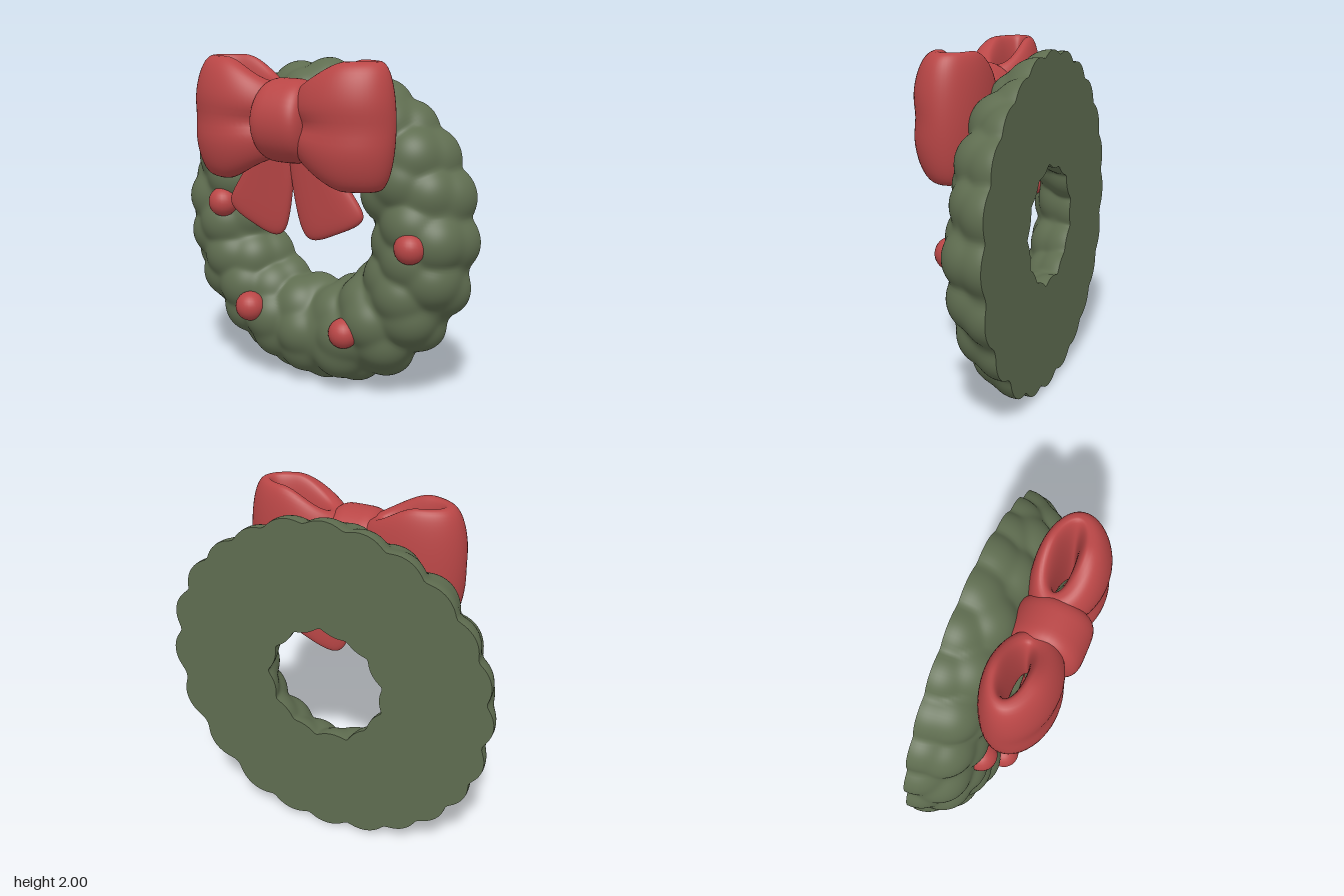
import * as THREE from 'three';

const TAU = Math.PI * 2;
const spow = (v, p) => Math.sign(v) * Math.pow(Math.abs(v), p);

// Smooth grid surface from f(s, t) with s, t in 0..1; closed directions share their seam vertices
function surface(f, nu, nv, { closeU = false, closeV = false, flip = false } = {}) {
  const cu = closeU ? nu : nu + 1, cv = closeV ? nv : nv + 1;
  const pos = [], idx = [];
  for (let i = 0; i < cu; i++) for (let j = 0; j < cv; j++) pos.push(...f(i / nu, j / nv));
  const id = (i, j) => (i % cu) * cv + (j % cv);
  for (let i = 0; i < nu; i++) for (let j = 0; j < nv; j++) {
    const a = id(i, j), b = id(i + 1, j), c = id(i + 1, j + 1), d = id(i, j + 1);
    if (flip) idx.push(a, c, b, a, d, c);
    else idx.push(a, b, c, a, c, d);
  }
  const g = new THREE.BufferGeometry();
  g.setAttribute('position', new THREE.Float32BufferAttribute(pos, 3));
  g.setIndex(idx);
  g.computeVertexNormals();
  return g;
}

function seeded(seed) {
  return () => (seed = (seed * 16807) % 2147483647) / 2147483647 - 0.5;
}

export function createModel() {
  const group = new THREE.Group();
  const green = new THREE.MeshStandardMaterial({ color: 0x5f6d50 });
  green.name = 'leaf green';
  const red = new THREE.MeshStandardMaterial({ color: 0xb94646 });
  red.name = 'ribbon red';
  const add = (name, geo, mat) => {
    const m = new THREE.Mesh(geo, mat);
    m.name = name;
    group.add(m);
    return m;
  };

  // Wreath: a half torus whose skin is the soft union of staggered leafy balls
  const MAJOR = 0.65, CY = 0.985, BACK = -0.33, SOFT = 30;
  const rnd = seeded(4711);
  const balls = [];
  const addBall = (th, v) => {
    const off = 0.153 + 0.008 * Math.cos(v) + rnd() * 0.015, r = MAJOR + off * Math.cos(v);
    balls.push({
      c: new THREE.Vector3(r * Math.cos(th), r * Math.sin(th), off * Math.sin(v)),
      r: 0.178 + rnd() * 0.012,
    });
  };
  // Outer rim by angle in degrees, then evenly spread rows towards the hole
  [0, 18, 34, 48, 62, 76, 90, 104, 119, 134, 149, 164, 180, 198, 212, 226, 240, 254, 270, 285, 300, 320, 340]
    .forEach((deg) => addBall((deg / 360) * TAU, 0.08));
  [19, 17, 14, 13].forEach((count, row) => {
    for (let k = 0; k < count; k++) {
      const th = ((k + (row % 2) * 0.5 + rnd() * 0.3) / count) * TAU;
      addBall(th, ((row + 1) / 4) * Math.PI + rnd() * 0.2);
    }
  });
  const core = new THREE.Vector3(), dir = new THREE.Vector3(), rel = new THREE.Vector3();
  const wreathPoint = (s, t) => {
    const u = s * TAU, v = t * Math.PI;
    core.set(MAJOR * Math.cos(u), MAJOR * Math.sin(u), 0);
    dir.set(Math.cos(v) * Math.cos(u), Math.cos(v) * Math.sin(u), Math.sin(v));
    let sum = Math.pow(0.285, SOFT);
    for (const ball of balls) {
      rel.subVectors(ball.c, core);
      const d2 = rel.lengthSq();
      if (d2 > 0.16) continue;
      const b = dir.dot(rel), disc = b * b - d2 + ball.r * ball.r;
      if (disc > 0) sum += Math.pow(Math.max(0, b + Math.sqrt(disc)), SOFT);
    }
    core.addScaledVector(dir, Math.pow(sum, 1 / SOFT));
    return [core.x, core.y + CY, core.z + BACK];
  };
  add('wreath', surface(wreathPoint, 300, 56, { closeU: true }), green);
  add('wreathBack', surface((s, t) => wreathPoint(s, 1 - t), 300, 1, { closeU: true }), green);

  // Bow: hollow puffy loops and two hanging tails, mirrored left and right
  const BY = 1.65, BZ = 0.07;
  for (const side of [1, -1]) {
    const label = side > 0 ? 'left' : 'right';
    const loop = (s, t) => {
      const a = s * TAU, v = t * TAU, front = Math.sin(a);
      const near = 1 - THREE.MathUtils.smoothstep(0.33 + 0.2 * Math.cos(a), 0.06, 0.4);
      const y = -Math.sin(v) * (0.35 - 0.15 * near);
      // Fuller outside than inside, and fullest in front
      let thick = spow(Math.cos(v), 0.85);
      thick *= thick > 0 ? 0.11 + 0.037 * front : 0.065;
      // Pinch the ribbon into a crease that deepens beside the knot
      if (thick > 0) {
        thick -= 0.045 * near * Math.exp(-((y / 0.05) ** 2));
        thick -= 0.02 * Math.max(0, front) * Math.exp(-((y / 0.09) ** 2));
      }
      return [
        side * (0.33 + (0.2 + thick) * Math.cos(a)),
        BY + y,
        BZ + (0.1 + thick) * front,
      ];
    };
    add(label + 'BowLoop', surface(loop, 56, 56, { closeU: true, closeV: true, flip: side < 0 }), red);

    const tail = (s, t) => {
      const d = Math.sin((s * Math.PI) / 2), v = t * TAU;
      const round = Math.pow(Math.max(0, 1 - Math.pow(d, 12)), 0.25);
      const ix = -0.01 + 0.09 * d * d, iy = 1.5 - 0.565 * d;
      const ox = 0.22 + 0.27 * d, oy = 1.5 - 0.38 * d;
      const w = (spow(Math.cos(v), 0.75) * round + 1) / 2;
      return [
        side * (ix + (ox - ix) * w),
        iy + (oy - iy) * w,
        0.095 - 0.035 * d - 0.048 * round * spow(Math.sin(v), 0.8),
      ];
    };
    add(label + 'BowTail', surface(tail, 32, 36, { closeV: true, flip: side < 0 }), red);
  }

  // Knot: a squared barrel bulging at the middle
  const knot = (s, t) => {
    const u = s * TAU, v = (t - 0.5) * Math.PI;
    const r = Math.pow(Math.max(0, Math.cos(v)), 0.4);
    const y = Math.cos(u) * r, z = Math.sin(u) * r;
    return [
      0.167 * spow(Math.sin(v), 0.5) * (1 - 0.12 * y * y),
      1.655 + 0.237 * y,
      0.115 + 0.215 * z,
    ];
  };
  add('bowKnot', surface(knot, 40, 32, { closeU: true }), red);

  // Berries
  const berry = new THREE.SphereGeometry(0.09, 24, 16);
  [[-0.59, 1.1, -0.04], [0.69, 0.98, -0.035], [-0.375, 0.475, -0.01], [0.27, 0.41, -0.04]]
    .forEach((p) => add('berry', berry, red).position.set(...p));

  return group;
}
